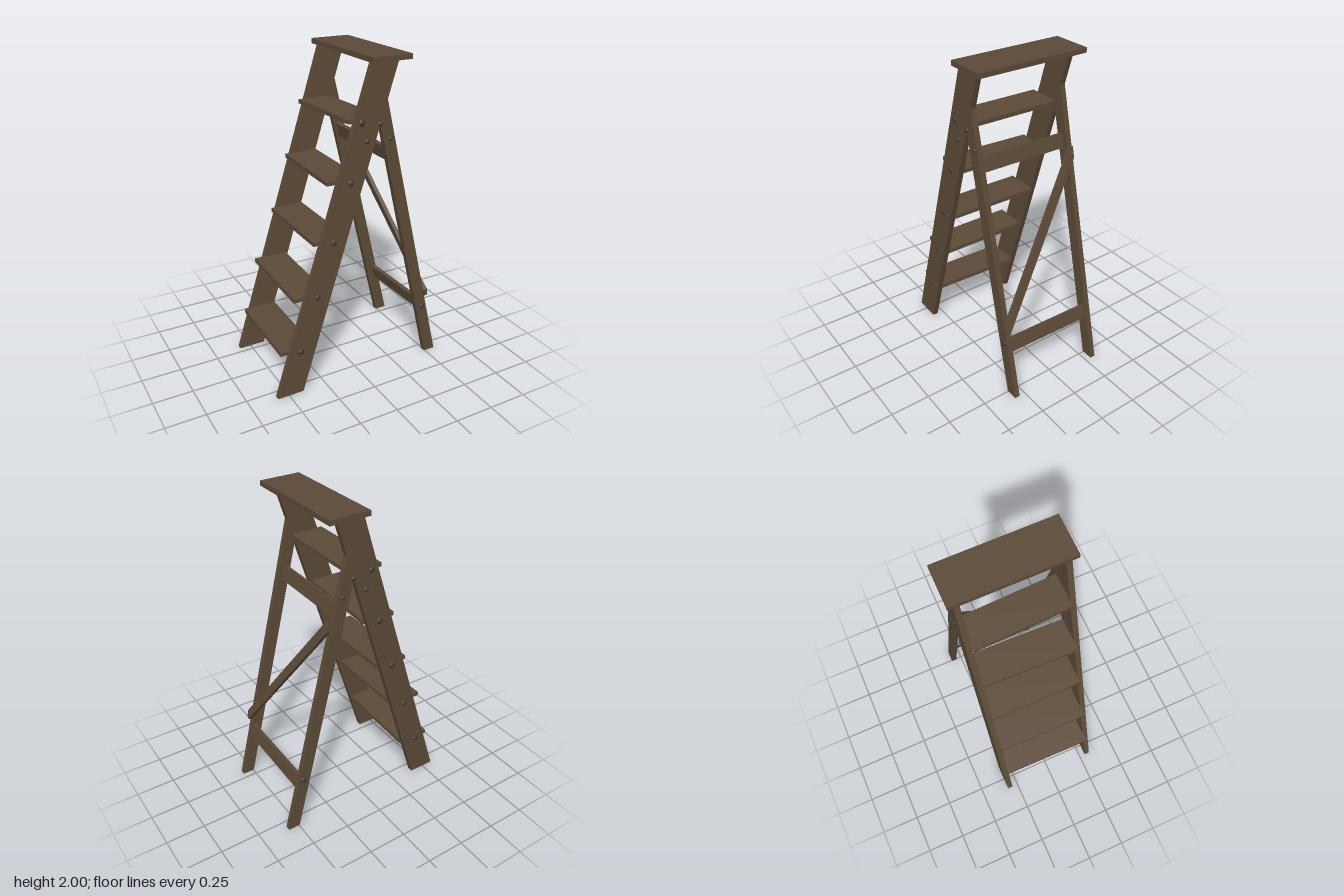
import * as THREE from 'three';

export function createModel() {
  const model = new THREE.Group();
  model.name = 'stepladder';

  const wood = new THREE.MeshStandardMaterial({ color: 0x5c4a37 });
  wood.name = 'dark wood';
  const iron = new THREE.MeshStandardMaterial({ color: 0x3c3c3e });
  iron.name = 'dark iron';

  const add = (parent, name, geometry, material = wood) => {
    const mesh = new THREE.Mesh(geometry, material);
    mesh.name = name;
    parent.add(mesh);
    return mesh;
  };

  // Flat board cut from an outline and centred on its thickness
  const board = (points, thickness) => {
    const shape = new THREE.Shape(points.map(([x, y]) => new THREE.Vector2(x, y)));
    return new THREE.ExtrudeGeometry(shape, { depth: thickness, bevelEnabled: false })
      .translate(0, 0, -thickness / 2);
  };

  // Top platform
  add(model, 'topPlatform', new THREE.BoxGeometry(0.255, 0.03, 0.716)).position.set(0.152, 1.985, 0);

  // Side rails, rear legs and bolts, mirrored across the ladder
  const railShape = board([[-0.575, 0], [-0.405, 0], [0.215, 1.97], [0.045, 1.97]], 0.034);
  const legShape = board([[0.495, 0], [0.572, 0], [0.147, 1.762], [0.104, 1.62]], 0.034);
  const boltShape = new THREE.SphereGeometry(1, 12, 8);
  const bolts = [
    [-0.015, 1.64, 0.02], [-0.08, 1.3, 0.02], [-0.19, 0.955, 0.02], [-0.3, 0.625, 0.02],
    [-0.415, 0.285, 0.02], [0.455, 0.355, 0.02],
    [0.02, 1.53, 0.015], [0.105, 1.62, 0.015], [0.175, 1.525, 0.014],
  ];
  for (const [side, sign] of [['left', 1], ['right', -1]]) {
    add(model, side + 'Rail', railShape).position.z = sign * 0.307;
    add(model, side + 'RearLeg', legShape).position.z = sign * 0.307;
    for (const [x, y, r] of bolts) {
      const bolt = add(model, side + 'Bolt', boltShape, iron);
      bolt.position.set(x, y, sign * 0.323);
      bolt.scale.set(r, r, 0.009);
    }
  }

  // Treads, each slightly out of true: x, y, roll, yaw
  const treads = [
    [-0.425, 0.28, -0.014, -0.017],
    [-0.332, 0.625, 0.012, -0.009],
    [-0.202, 0.957, 0, 0],
    [-0.103, 1.305, -0.012, -0.035],
    [0.012, 1.643, -0.018, 0.026],
  ];
  for (const [x, y, roll, yaw] of treads) {
    const tread = add(model, 'tread', new THREE.BoxGeometry(0.212, 0.025, 0.59));
    tread.position.set(x, y, 0);
    tread.rotation.set(roll, yaw, 0);
  }

  // Cross bars between the rear legs, tilted with them
  const tilt = Math.atan(0.241);
  for (const [name, x, y, roll] of [['lowerCrossBar', 0.472, 0.335, -0.025], ['upperCrossBar', 0.182, 1.425, -0.008]]) {
    const bar = add(model, name, new THREE.BoxGeometry(0.025, 0.088, 0.59));
    bar.position.set(x, y, 0);
    bar.rotation.set(roll, 0, tilt);
  }

  // Diagonal brace on the back faces of the rear legs
  const back = new THREE.Group();
  back.name = 'diagonalBraceMount';
  back.position.set(0.571, 0, 0);
  back.rotation.z = tilt;
  const outline = [[0.31, 0.42], [0.33, 0.43], [0.335, 0.475], [-0.295, 1.395], [-0.315, 1.4], [-0.315, 1.33]];
  const brace = add(back, 'diagonalBrace',
    board(outline.map(([z, y]) => [-z, y / Math.cos(tilt)]), 0.024));
  brace.rotation.y = Math.PI / 2;
  brace.position.x = 0.012;
  model.add(back);

  return model;
}
